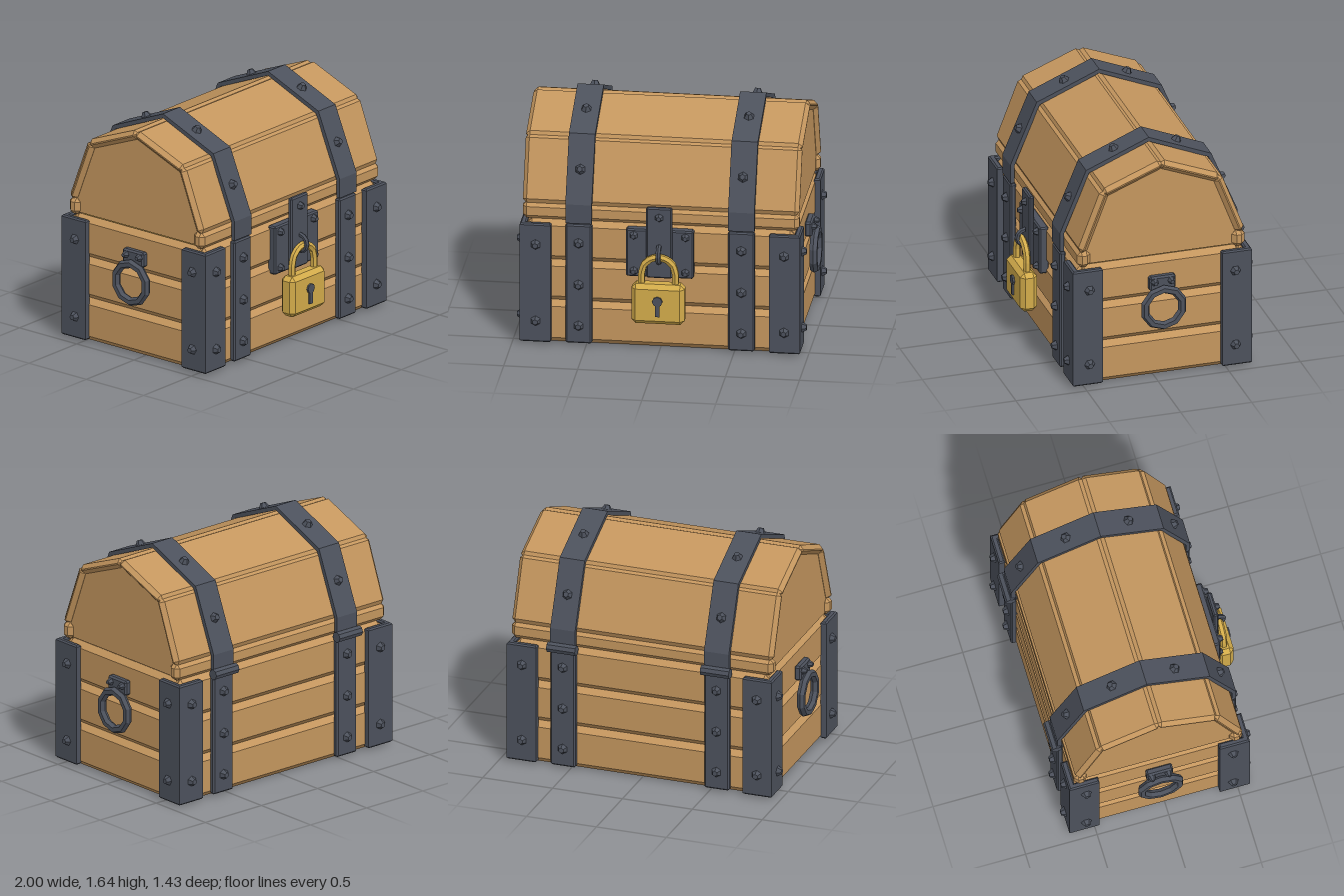
import * as THREE from 'three';
import { ConvexGeometry } from 'three/addons/geometries/ConvexGeometry.js';

export function createModel() {
  const material = (name, color) => {
    const m = new THREE.MeshStandardMaterial({ color });
    m.name = name;
    return m;
  };
  const wood = material('wood', 0xc4965e);
  const darkWood = material('dark wood', 0x6e4c2d);
  const iron = material('iron', 0x4c515c);
  const gold = material('gold', 0xd2ab4a);

  const model = new THREE.Group();
  model.name = 'treasureChest';
  const chest = new THREE.Group();
  chest.name = 'chest';
  chest.position.z = -0.048;
  model.add(chest);

  // Faceted mesh with hard edges
  function add(name, geometry, mat, x = 0, y = 0, z = 0) {
    const g = geometry.index ? geometry.toNonIndexed() : geometry;
    g.computeVertexNormals();
    const mesh = new THREE.Mesh(g, mat);
    mesh.name = name;
    mesh.position.set(x, y, z);
    chest.add(mesh);
    return mesh;
  }

  // Box with every edge cut at 45 degrees
  function chamferBox(w, h, d, c) {
    const pts = [];
    for (const x of [-1, 1]) for (const y of [-1, 1]) for (const z of [-1, 1]) {
      pts.push(
        new THREE.Vector3(x * w / 2, y * (h / 2 - c), z * (d / 2 - c)),
        new THREE.Vector3(x * (w / 2 - c), y * h / 2, z * (d / 2 - c)),
        new THREE.Vector3(x * (w / 2 - c), y * (h / 2 - c), z * d / 2));
    }
    return new ConvexGeometry(pts);
  }

  // Chamfered box given by its limits
  const block = (name, mat, x0, x1, y0, y1, z0, z1, c) =>
    add(name, chamferBox(x1 - x0, y1 - y0, z1 - z0, c), mat, (x0 + x1) / 2, (y0 + y1) / 2, (z0 + z1) / 2);

  // Side profile of [z, y] points, extruded along x
  function profile(points, width) {
    const shape = new THREE.Shape(points.map(([z, y]) => new THREE.Vector2(z, y)));
    const g = new THREE.ExtrudeGeometry(shape, { depth: width, bevelEnabled: false });
    return g.translate(0, 0, -width / 2).rotateY(-Math.PI / 2);
  }

  // Six-sided rivet pointing along a direction
  const up = new THREE.Vector3(0, 1, 0);
  function rivet(x, y, z, dx, dy, dz, r = 0.038) {
    const g = new THREE.CylinderGeometry(r * 0.5, r, 0.034, 6).translate(0, 0.014, 0);
    const m = add('rivet', g, iron, x, y, z);
    m.quaternion.setFromUnitVectors(up, new THREE.Vector3(dx, dy, dz).normalize());
  }

  // Body: three rows of planks around a floor and a golden filling
  const rows = [[0, 0.3], [0.3, 0.59], [0.59, 0.88]];
  for (const [y0, y1] of rows) for (const s of [-1, 1]) {
    const z = s * 0.55, x = s * 0.87;
    block('longPlank', wood, -0.91, 0.91, y0, y1, z - 0.04, z + 0.04, 0.038);
    block('sidePlank', wood, x - 0.04, x + 0.04, y0, y1, -0.57, 0.57, 0.038);
  }
  add('floor', new THREE.BoxGeometry(1.76, 0.03, 1.12), darkWood, 0, 0.04, 0);
  add('treasure', new THREE.BoxGeometry(1.68, 0.06, 1.04), gold, 0, 0.862, 0);

  // Lid: base beams, four sloping planks and a solid core that forms the ends
  const corner = [0.59, 1.0], shoulder = [0.423, 1.437], apex = [0, 1.605];
  function lidPlank(a, b, s) {
    const dz = b[0] - a[0], dy = b[1] - a[1], len = Math.hypot(dz, dy), t = 0.065;
    const nz = dy / len, ny = -dz / len;
    const m = add('lidPlank', chamferBox(1.87, len, t, 0.028), wood, 0,
      (a[1] + b[1]) / 2 - ny * t / 2, s * ((a[0] + b[0]) / 2 - nz * t / 2));
    m.rotation.x = s * Math.atan2(dz, dy);
  }
  for (const s of [-1, 1]) {
    block('lidBeam', wood, -0.935, 0.935, 0.882, 1.0, s * 0.543 - 0.045, s * 0.543 + 0.045, 0.028);
    lidPlank(corner, shoulder, s);
    lidPlank(shoulder, apex, s);
  }
  add('lidCore', profile([[-0.53, 0.9], [0.53, 0.9], [0.53, 1.0], [0.385, 1.405], [0, 1.56],
    [-0.385, 1.405], [-0.53, 1.0]], 1.81), wood);

  // Iron straps over lid and body, with hinges at the back
  const outer = [[0.625, 0.882], [0.625, 1.017], [0.44, 1.46], [0, 1.643]];
  const inner = [[0, 1.613], [0.419, 1.438], [0.596, 1.011], [0.596, 0.882]];
  const flip = (pts) => pts.filter(([z]) => z > 0).reverse().map(([z, y]) => [-z, y]);
  const band = [...outer, ...flip(outer), ...flip(inner), ...inner];
  for (const x of [-0.55, 0.55]) {
    add('lidStrap', profile(band, 0.178), iron, x);
    for (const s of [-1, 1]) {
      block('bodyStrap', iron, x - 0.089, x + 0.089, 0.018, 0.872, s * 0.603 - 0.022, s * 0.603 + 0.022, 0.01);
      for (const y of [0.145, 0.44, 0.74]) rivet(x, y, s * 0.625, 0, 0, s);
      rivet(x, 1.238, s * 0.5325, 0, 0.385, s * 0.923);
      rivet(x, 1.552, s * 0.22, 0, 0.923, s * 0.385);
    }
    add('hinge', new THREE.CylinderGeometry(0.037, 0.037, 0.205, 8).rotateZ(Math.PI / 2), iron, x, 0.882, -0.632);
  }

  // Corner brackets: L-shaped, riveted on both faces
  for (const sx of [-1, 1]) for (const sz of [-1, 1]) {
    const ell = [[0.738, 0.63], [0.948, 0.63], [0.948, 0.42], [0.905, 0.42], [0.905, 0.585], [0.738, 0.585]];
    const shape = new THREE.Shape(ell.map(([x, z]) => new THREE.Vector2(x * sx, -z * sz)));
    const g = new THREE.ExtrudeGeometry(shape, {
      depth: 0.832, bevelSegments: 1, bevelSize: 0.01, bevelThickness: 0.01, bevelOffset: -0.01,
    }).rotateX(-Math.PI / 2);
    add('cornerBracket', g, iron, 0, 0.025, 0);
    for (const y of [0.168, 0.718]) {
      rivet(sx * 0.84, y, sz * 0.63, 0, 0, sz);
      rivet(sx * 0.948, y, sz * 0.513, sx, 0, 0);
    }
  }

  // Ring handles on both ends
  for (const s of [-1, 1]) {
    block('handlePlate', iron, s * 0.932 - 0.026, s * 0.932 + 0.026, 0.65, 0.755, -0.092, 0.092, 0.012);
    for (const z of [-0.058, 0.058]) rivet(s * 0.958, 0.718, z, s, 0, 0, 0.028);
    const ring = new THREE.TorusGeometry(0.135, 0.03, 6, 10).rotateZ(Math.PI / 10).rotateY(Math.PI / 2);
    add('ringHandle', ring, iron, s * 0.973, 0.532, 0);
  }

  // Lock plate, hasp and staple
  block('lockPlate', iron, -0.228, 0.228, 0.525, 0.866, 0.57, 0.637, 0.01);
  for (const x of [-0.175, 0.175]) for (const y of [0.567, 0.822]) rivet(x, y, 0.635, 0, 0, 1, 0.032);
  block('hasp', iron, -0.088, 0.088, 0.53, 1.037, 0.628, 0.664, 0.01);
  rivet(0, 0.967, 0.662, 0, 0, 1, 0.032);
  const staple = new THREE.TorusGeometry(0.055, 0.018, 6, 6, Math.PI).rotateZ(-Math.PI / 2).rotateY(-Math.PI / 2);
  add('staple', staple, iron, 0, 0.705, 0.668);

  // Padlock with shackle and keyhole
  block('padlockBody', gold, -0.18, 0.18, 0.225, 0.51, 0.632, 0.75, 0.03);
  const arch = new THREE.CurvePath();
  const points = [new THREE.Vector3(-0.115, 0.48, 0)];
  for (let i = 0; i <= 6; i++) {
    const a = Math.PI * (1 - i / 6);
    points.push(new THREE.Vector3(0.115 * Math.cos(a), 0.58 + 0.115 * Math.sin(a), 0));
  }
  points.push(new THREE.Vector3(0.115, 0.48, 0));
  for (let i = 1; i < points.length; i++) arch.add(new THREE.LineCurve3(points[i - 1], points[i]));
  add('shackle', new THREE.TubeGeometry(arch, 24, 0.025, 6), gold, 0, 0, 0.69);
  add('keyholeTop', new THREE.CylinderGeometry(0.035, 0.035, 0.02, 8).rotateX(Math.PI / 2), iron, 0, 0.398, 0.754);
  add('keyholeSlot', new THREE.BoxGeometry(0.03, 0.1, 0.02), iron, 0, 0.34, 0.753);

  return model;
}
